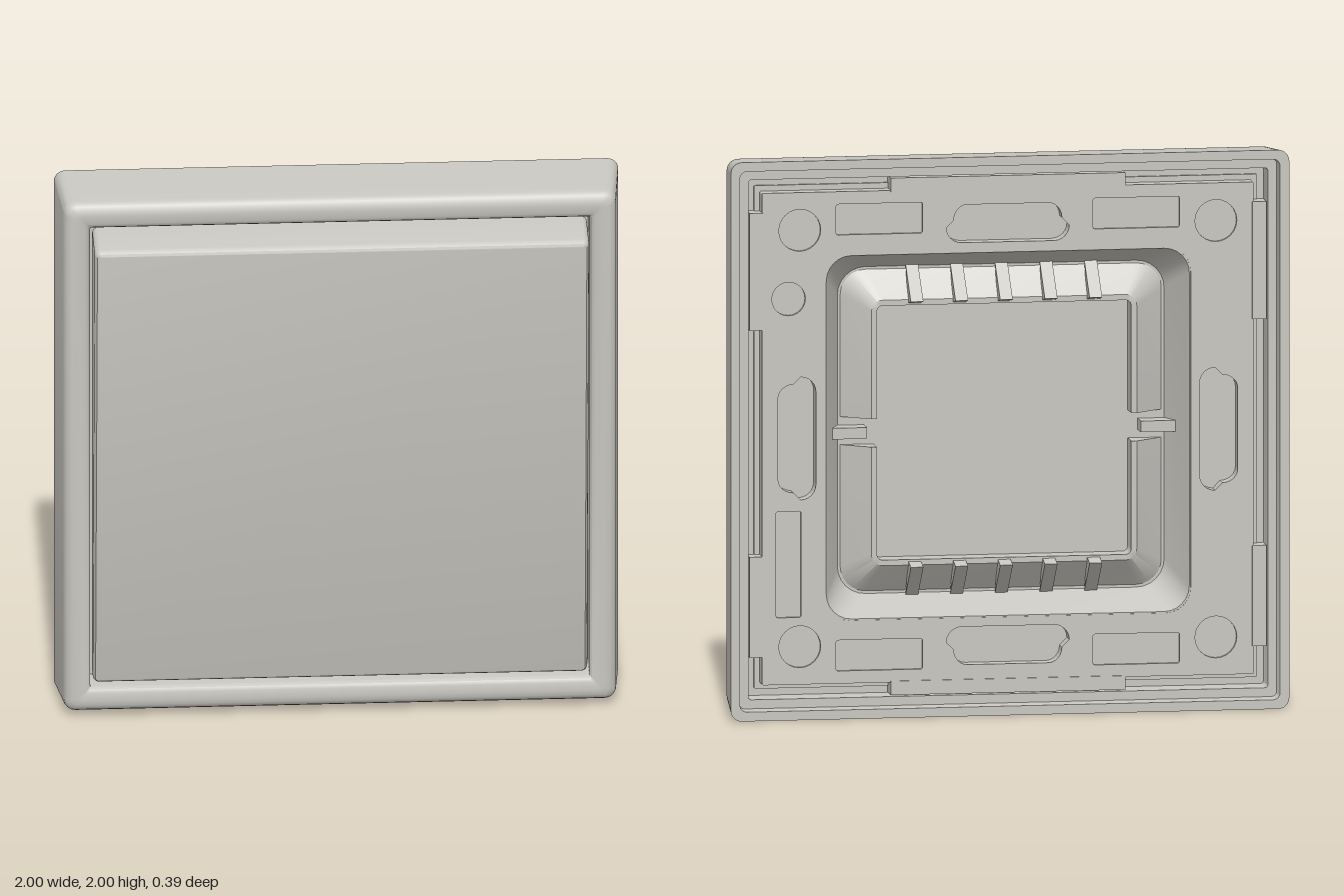
import * as THREE from 'three';
import { toCreasedNormals } from 'three/addons/utils/BufferGeometryUtils.js';

// Rounded rectangle outline, counterclockwise; with a gap, only its upper half, open.
function outline(hx, hy, r, gap) {
  const pts = [];
  const corners = gap === undefined ? 4 : 2;
  const sx = [1, -1, -1, 1], sy = [1, 1, -1, -1];
  if (corners === 2) pts.push([hx, gap]);
  for (let c = 0; c < corners; c++) {
    for (let i = 0; i <= 6; i++) {
      const a = (c + i / 6) * Math.PI / 2;
      pts.push([sx[c] * (hx - r) + r * Math.cos(a), sy[c] * (hy - r) + r * Math.sin(a)]);
    }
  }
  if (corners === 2) pts.push([-hx, gap]);
  return pts;
}

// Skin a list of rings; each ring is an array of [x, y, z].
function loft(rings, { closedRing = true, closedProfile = true, caps = false }) {
  const n = rings[0].length, m = rings.length;
  const pos = rings.flat(2), idx = [];
  const at = (i, j) => (i % m) * n + (j % n);
  for (let i = 0; i < (closedProfile ? m : m - 1); i++) {
    for (let j = 0; j < (closedRing ? n : n - 1); j++) {
      idx.push(at(i, j), at(i, j + 1), at(i + 1, j + 1), at(i, j), at(i + 1, j + 1), at(i + 1, j));
    }
  }
  if (caps && closedRing) {
    for (let j = 1; j < n - 1; j++) {
      idx.push(at(0, 0), at(0, j + 1), at(0, j));
      idx.push(at(m - 1, 0), at(m - 1, j), at(m - 1, j + 1));
    }
  } else if (caps) {
    for (let i = 1; i < m - 1; i++) {
      idx.push(at(0, 0), at(i, 0), at(i + 1, 0));
      idx.push(at(0, n - 1), at(i + 1, n - 1), at(i, n - 1));
    }
  }
  const g = new THREE.BufferGeometry();
  g.setAttribute('position', new THREE.Float32BufferAttribute(pos, 3));
  g.setIndex(idx);
  return toCreasedNormals(g, 0.6);
}

// Square ring sections from [half size, z, corner radius]
const squareRings = (profile, gap) =>
  profile.map(([h, z, r]) => outline(h, h, r, gap).map(([x, y]) => [x, y, z]));

const roundRect = (Type, cx, cy, hx, hy, r) =>
  new Type(outline(hx, hy, r).map(([x, y]) => new THREE.Vector2(cx + x, cy + y)));

export function createModel() {
  const model = new THREE.Group();
  const body = new THREE.Group();
  body.name = 'rockerSwitch';
  body.position.y = 1;
  model.add(body);

  const plastic = new THREE.MeshStandardMaterial({ color: 0xc8c6c0 });
  plastic.name = 'warm grey plastic';
  const add = (name, geometry, parent = body) => {
    const mesh = new THREE.Mesh(geometry, plastic);
    mesh.name = name;
    parent.add(mesh);
    return mesh;
  };

  // Outer frame: up the outside, over the front, down the inside, then the stepped rim behind
  const frameProfile = [
    [1, -0.195, 0.04], [0.98, 0.025, 0.04], [0.977, 0.045, 0.04], [0.968, 0.061, 0.035],
    [0.952, 0.07, 0.03], [0.935, 0.072, 0.025], [0.905, 0.07, 0.01], [0.892, 0.064, 0.006],
    [0.885, 0.052, 0.004], [0.885, -0.08, 0.004], [0.925, -0.08, 0.01], [0.93, -0.15, 0.01],
    [0.962, -0.15, 0.02], [0.967, -0.195, 0.025],
  ];
  add('frame', loft(squareRings(frameProfile), {}));

  // Rocker: wedge whose front leans out towards the top
  const frontZ = (y) => 0.135 + 0.0705 * y;
  const rockerProfile = [[0, null], [0, 0.022], [0.003, 0.011], [0.009, 0.003], [0.018, 0]];
  const rockerRings = rockerProfile.map(([inset, back]) =>
    outline(0.876 - inset, 0.866 - inset, 0.022 - inset).map(([x, y]) => {
      const z = back === null ? 0.02 : frontZ(y) - back;
      return [x, y - 0.14 * (z - 0.07), z];
    }));
  add('rocker', loft(rockerRings, { closedProfile: false, caps: true }));

  // Mounting plate in three layers, so that pockets have floors
  const opening = () => roundRect(THREE.Path, 0, 0, 0.655, 0.655, 0.09);
  const gripPockets = () => [0, 1, 2, 3].map((k) => {
    const p = outline(0.22, 0.068, 0.055).map(([x, y]) => {
      const v = new THREE.Vector2(x * (y < 0 ? 1 : 0.88), y + 0.755);
      return v.rotateAround(new THREE.Vector2(), k * Math.PI / 2);
    });
    return new THREE.Path(p);
  });
  const shallowPockets = () => {
    const list = [];
    for (const sx of [-1, 1]) {
      for (const sy of [-1, 1]) {
        list.push(new THREE.Path().absarc(sx * 0.745, sy * 0.745, 0.075, 0, Math.PI * 2));
        list.push(roundRect(THREE.Path, sx * 0.46, sy * 0.78, 0.155, 0.055, 0.008));
      }
    }
    list.push(new THREE.Path().absarc(0.785, 0.5, 0.06, 0, Math.PI * 2));
    list.push(roundRect(THREE.Path, 0.785, -0.45, 0.045, 0.19, 0.008));
    return list;
  };
  const layer = (name, half, z0, z1, holes) => {
    const s = roundRect(THREE.Shape, 0, 0, half, half, 0.005);
    s.holes.push(...holes);
    const g = new THREE.ExtrudeGeometry(s, { depth: z1 - z0, bevelEnabled: false, curveSegments: 12 });
    add(name, g.translate(0, 0, z0));
  };
  layer('plateBackFace', 0.88, -0.145, -0.133, [opening(), ...gripPockets(), ...shallowPockets()]);
  layer('plateMiddle', 0.88, -0.133, -0.09, [opening(), ...gripPockets()]);
  layer('plateFloor', 0.9, -0.09, -0.06, [opening()]);

  // Sloping wall from the plate opening down to the back of the rocker
  const wellProfile = [[0.67, -0.143, 0.1], [0.67, 0.018, 0.1], [0.585, 0.018, 0.1], [0.65, -0.143, 0.09]];
  add('openingWall', loft(squareRings(wellProfile), {}));

  // Locating tabs bridging the groove between plate and rim
  const tab = (x, y, w, h) =>
    add('plateTab', new THREE.BoxGeometry(w, h, 0.08).translate(x, y, -0.11));
  for (const s of [-1, 1]) {
    tab(0, s * 0.9, 0.84, 0.05);
    tab(s * 0.9, 0.6, 0.05, 0.42);
    tab(s * 0.9, -0.6, 0.05, 0.36);
  }

  // Two half collars rising to a window, each with five gusset ribs on its outer slope
  const collarProfile = [[0.575, 0.019, 0.09], [0.455, 0.019, 0.02], [0.455, -0.06, 0.02], [0.475, -0.06, 0.04]];
  const collar = loft(squareRings(collarProfile, 0.05), { closedRing: false, caps: true });
  const ribShape = new THREE.Shape([
    new THREE.Vector2(0.01, 0.595), new THREE.Vector2(-0.115, 0.475), new THREE.Vector2(-0.05, 0.46),
  ]);
  const rib = new THREE.ExtrudeGeometry(ribShape, { depth: 0.045, bevelEnabled: false });
  rib.translate(0, 0, -0.0225).rotateY(-Math.PI / 2);
  for (let k = 0; k < 2; k++) {
    const half = new THREE.Group();
    half.name = k ? 'lowerCollar' : 'upperCollar';
    half.rotation.z = k * Math.PI;
    body.add(half);
    add('collarWall', collar, half);
    for (let i = -2; i <= 2; i++) add('rib', rib, half).position.x = i * 0.16;
    // Pivot clip in the gap at the side
    add('pivotClip', new THREE.BoxGeometry(0.15, 0.04, 0.07), half).position.set(0.565, 0, -0.02);
  }

  return model;
}
